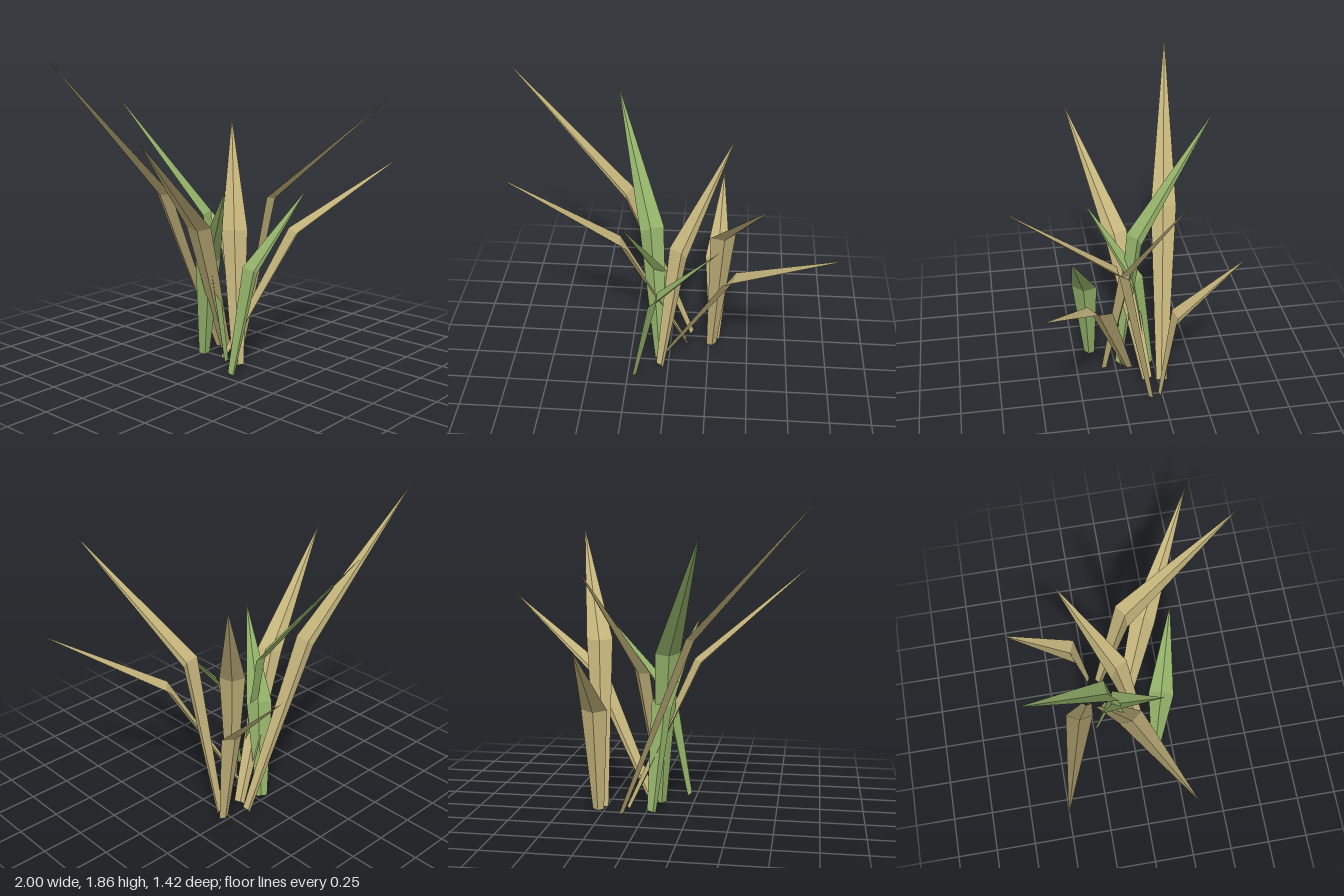
import * as THREE from 'three';

const V = (a) => new THREE.Vector3(...a);

// A folded blade: narrow foot, wide bend, pointed tip, with a keel along its middle.
function makeBlade(base, knee, tip, material) {
  const [b, k, t] = [V(base), V(knee), V(tip)];
  const out = new THREE.Vector3(t.x - b.x, 0, t.z - b.z).normalize();
  const side = new THREE.Vector3(-out.z, 0, out.x);
  const lower = k.clone().sub(b).normalize();
  const upper = t.clone().sub(k).normalize();
  const under = (dir) => side.clone().cross(dir).normalize();

  // Cross-section of three points: edge, keel, edge
  const section = (c, dir, width, depth) => {
    let n = under(dir);
    if (n.dot(out) < 0) n.negate();
    return [-1, 0, 1].map((s) =>
      c.clone().addScaledVector(side, s * width / 2)
        .addScaledVector(n, s === 0 ? depth * 0.6 : -depth * 0.4));
  };
  const foot = section(b, lower, 0.068, 0.014);
  const bend = section(k, lower.clone().add(upper), 0.155, 0.03);
  foot.forEach((p, i) => { p.y = i === 1 ? 0 : 0.008; });

  const pts = [];
  for (let i = 0; i < 2; i++) {
    pts.push(foot[i], bend[i], foot[i + 1]);
    pts.push(foot[i + 1], bend[i], bend[i + 1]);
    pts.push(bend[i], t, bend[i + 1]);
  }
  const geometry = new THREE.BufferGeometry().setFromPoints(pts);
  geometry.computeVertexNormals();
  return new THREE.Mesh(geometry, material);
}

export function createModel() {
  const group = new THREE.Group();
  group.name = 'grassTuft';
  const dry = new THREE.MeshStandardMaterial({ name: 'dryStraw', color: 0xc2b27a, side: THREE.DoubleSide, flatShading: true });
  const green = new THREE.MeshStandardMaterial({ name: 'leafGreen', color: 0x92b068, side: THREE.DoubleSide, flatShading: true });

  // Foot, bend and tip of each blade
  const dryBlades = [
    [[0.135, 0, -0.27], [-0.275, 1.04, -0.335], [-1, 1.86, -0.46]],
    [[0.11, 0, -0.18], [-0.285, 0.87, -0.035], [-0.957, 1.46, 0.2]],
    [[0.285, 0, -0.23], [0.29, 0.61, -0.31], [0.31, 1.01, -0.71]],
    [[-0.05, 0, 0.065], [0.06, 0.8, -0.06], [0.375, 1.44, -0.36]],
    [[0.27, 0, -0.17], [0.325, 0.98, 0.02], [0.572, 1.63, 0.71]],
    [[-0.025, 0, -0.075], [0.375, 0.77, 0.155], [1, 1.21, 0.52]],
  ];
  const greenBlades = [
    [[-0.06, 0, -0.025], [-0.115, 0.92, -0.135], [-0.355, 1.63, -0.645]],
    [[-0.205, 0, 0.15], [-0.075, 0.62, 0.19], [0.31, 1.07, 0.3]],
    [[-0.035, 0, -0.225], [-0.085, 0.62, -0.14], [-0.27, 1.12, 0.16]],
  ];
  const addAll = (list, material, label) => list.forEach((p, i) => {
    const blade = makeBlade(...p, material);
    blade.name = `${label}${i + 1}`;
    group.add(blade);
  });
  addAll(dryBlades, dry, 'dryBlade');
  addAll(greenBlades, green, 'greenBlade');
  return group;
}
